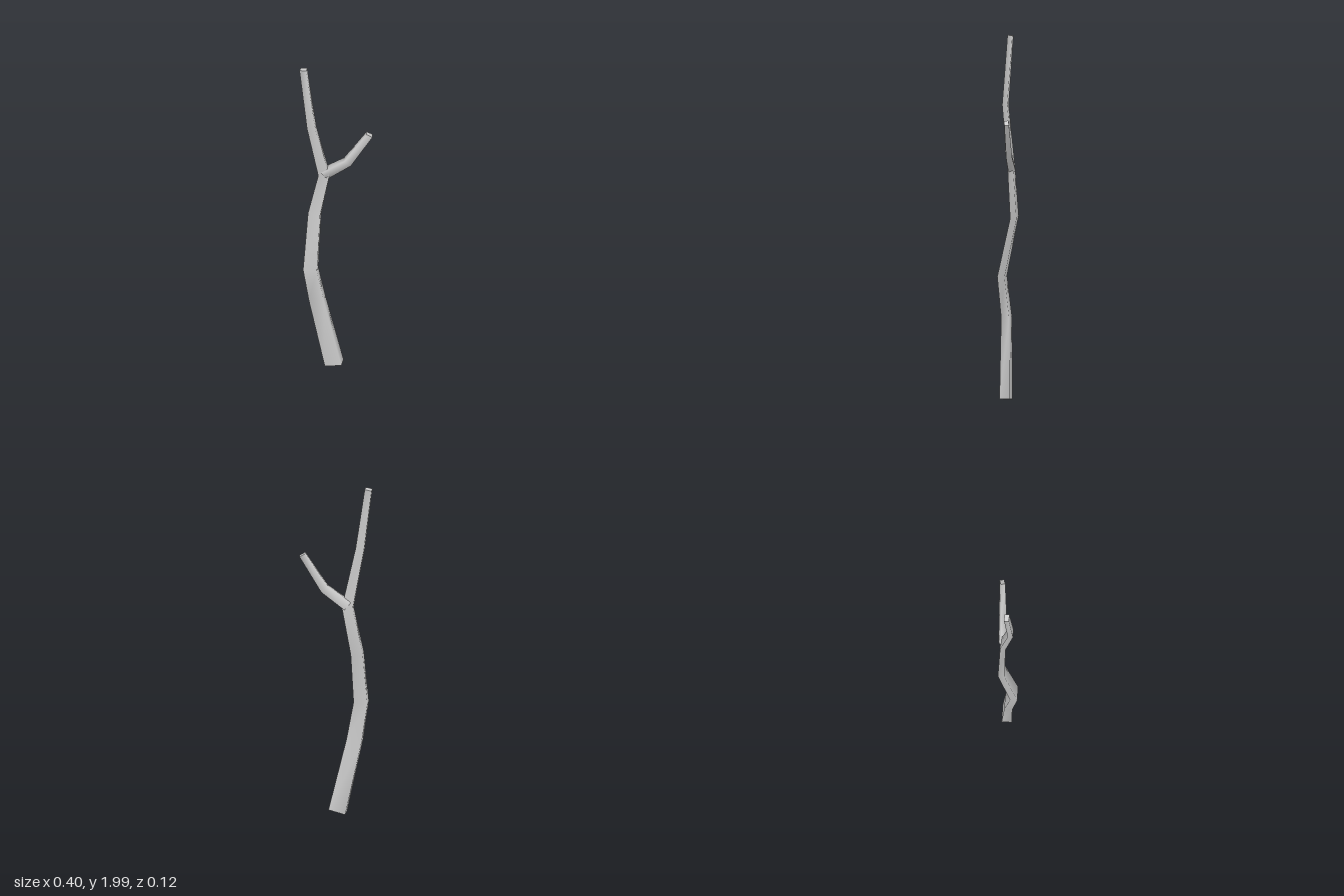
import * as THREE from 'three';

// Sweeps a tapering four-sided section along a path.
// Each station is [x, y, z, width, depth]; twist turns the section about the path.
function limb(name, stations, twist, capStart) {
  const points = stations.map(([x, y, z]) => new THREE.Vector3(x, y, z));
  const last = points.length - 1;
  const along = (i) => points[i + 1].clone().sub(points[i]).normalize();

  const rings = stations.map(([, , , width, depth], i) => {
    const t = new THREE.Vector3();
    if (i > 0) t.add(along(i - 1));
    if (i < last) t.add(along(i));
    t.normalize();
    const u = new THREE.Vector3(Math.cos(twist), 0, Math.sin(twist));
    u.addScaledVector(t, -u.dot(t)).normalize();
    const v = t.clone().cross(u);
    return [[1, -1], [1, 1], [-1, 1], [-1, -1]].map(([a, b]) =>
      points[i].clone().addScaledVector(u, a * width / 2).addScaledVector(v, b * depth / 2));
  });

  // Bark: shared vertices give a rounded look
  const index = [];
  for (let i = 0; i < last; i++) {
    for (let k = 0; k < 4; k++) {
      const a = i * 4 + k, b = i * 4 + (k + 1) % 4;
      index.push(a, b, b + 4, a, b + 4, a + 4);
    }
  }
  const material = new THREE.MeshStandardMaterial({ color: 0xcccccc });
  const mesh = (partName, corners, faces) => {
    const geometry = new THREE.BufferGeometry().setFromPoints(corners);
    geometry.setIndex(faces);
    geometry.computeVertexNormals();
    const part = new THREE.Mesh(geometry, material);
    part.name = partName;
    return part;
  };

  const group = new THREE.Group();
  group.name = name;
  group.add(mesh(name + 'Bark', rings.flat(), index));
  // Flat cut ends
  group.add(mesh(name + 'Tip', rings[last], [0, 1, 2, 0, 2, 3]));
  if (capStart) group.add(mesh(name + 'Base', rings[0], [0, 2, 1, 0, 3, 2]));
  return group;
}

export function createModel() {
  const model = new THREE.Group();
  model.name = 'branchedStick';

  // Crooked main stem
  model.add(limb('stem', [
    [-0.011, 0.014, 0.015, 0.095, 0.055],
    [-0.103, 0.45, 0.009, 0.084, 0.044],
    [-0.138, 0.67, 0.032, 0.077, 0.040],
    [-0.117, 1.0, -0.034, 0.067, 0.035],
    [-0.065, 1.275, -0.016, 0.060, 0.031],
    [-0.133, 1.62, 0.014, 0.046, 0.028],
    [-0.178, 1.995, -0.015, 0.038, 0.027],
  ], 0.22, true));

  // Side twig growing out of the fork
  model.add(limb('twig', [
    [-0.065, 1.283, -0.015, 0.056, 0.040],
    [0.061, 1.378, 0.003, 0.049, 0.033],
    [0.181, 1.578, 0.02, 0.038, 0.025],
  ], 0, false));

  return model;
}
